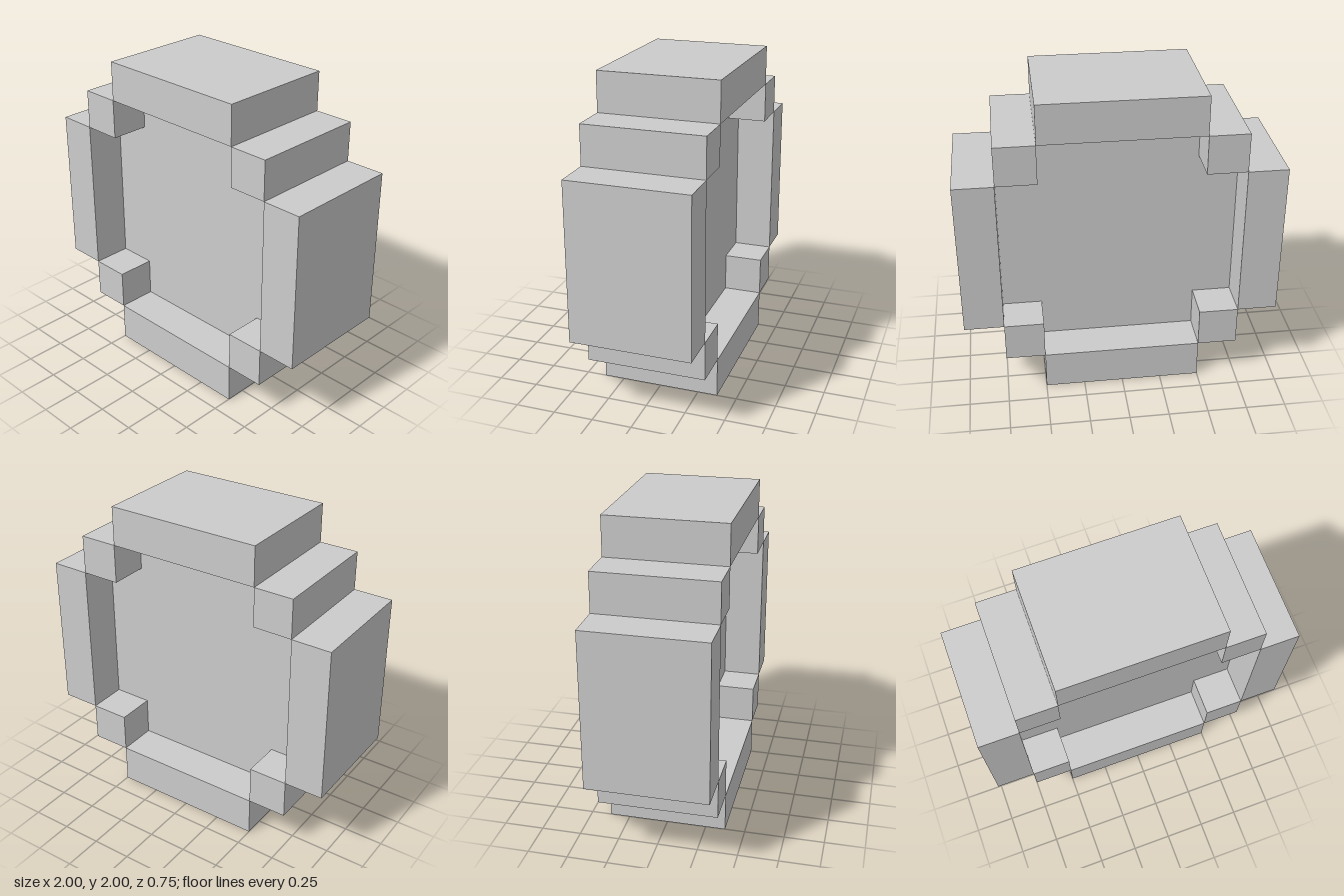
import * as THREE from 'three';

const DEPTH = 0.75;        // depth of the rim
const PANEL_DEPTH = 0.25;  // depth of the recessed centre

export function createModel() {
  const model = new THREE.Group();
  const material = new THREE.MeshStandardMaterial({ color: 0xcccccc, flatShading: true });

  function add(name, geometry, x, y, z = 0) {
    const mesh = new THREE.Mesh(geometry, material);
    mesh.name = name;
    mesh.position.set(x, y, z);
    model.add(mesh);
  }

  // Rim: four long bars
  const flatBar = new THREE.BoxGeometry(1, 0.25, DEPTH);
  const uprightBar = new THREE.BoxGeometry(0.25, 1, DEPTH);
  add('topBar', flatBar, 0, 1.875);
  add('bottomBar', flatBar, 0, 0.125);
  add('leftBar', uprightBar, 0.875, 1);
  add('rightBar', uprightBar, -0.875, 1);

  // Rim: stepped corner blocks
  const corner = new THREE.BoxGeometry(0.25, 0.25, DEPTH);
  for (const [side, sx] of [['Left', 1], ['Right', -1]]) {
    add('top' + side + 'Corner', corner, sx * 0.625, 1.625);
    add('bottom' + side + 'Corner', corner, sx * 0.625, 0.375);
  }

  // Recessed cross-shaped panel filling the rim, set in equally at front and back
  const a = 0.5, b = 0.75;
  const cross = new THREE.Shape([
    [b, -a], [b, a], [a, a], [a, b], [-a, b], [-a, a],
    [-b, a], [-b, -a], [-a, -a], [-a, -b], [a, -b], [a, -a],
  ].map(([x, y]) => new THREE.Vector2(x, y)));
  const panel = new THREE.ExtrudeGeometry(cross, { depth: PANEL_DEPTH, bevelEnabled: false });
  add('centrePanel', panel, 0, 1, -PANEL_DEPTH / 2);

  return model;
}
